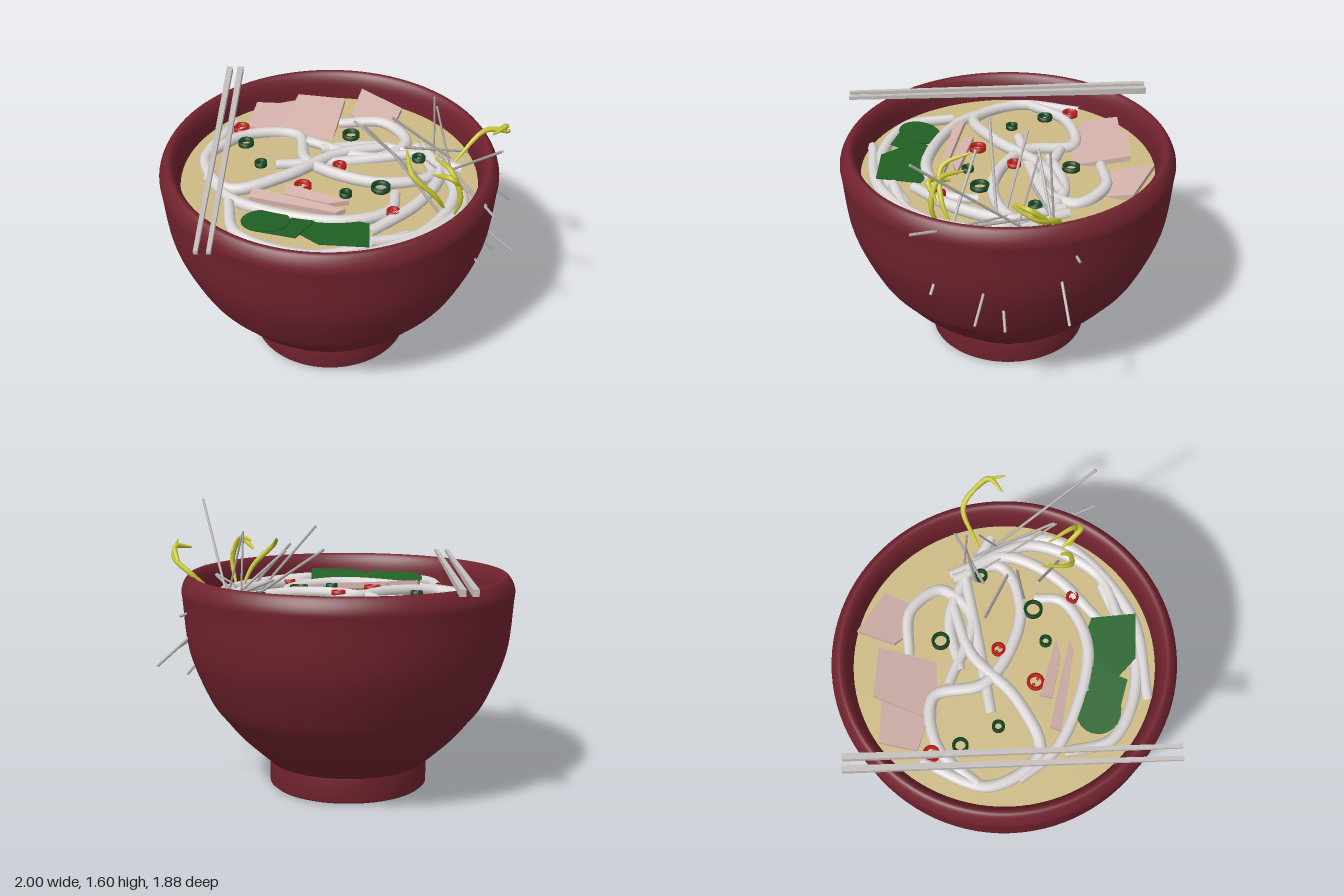
import * as THREE from 'three';

const mat = (name, color, side = THREE.FrontSide) => {
  const m = new THREE.MeshStandardMaterial({ color, side });
  m.name = name;
  return m;
};

const V = (p) => new THREE.Vector3(...p);
const v2 = (list) => list.map(([a, b]) => new THREE.Vector2(a, b));
const CX = -0.065; // bowl axis
const SOUP_Y = 1.07;

// Tube along points, thinning towards both ends by `taper`
function taperedTube(points, radius, segs, sides, taper) {
  const curve = new THREE.CatmullRomCurve3(points.map(V));
  const geo = new THREE.TubeGeometry(curve, segs, radius, sides);
  const pos = geo.attributes.position, v = new THREE.Vector3();
  for (let i = 0; i <= segs; i++) {
    const t = i / segs, c = curve.getPointAt(t);
    const k = 1 - taper * (2 * t - 1) ** 2;
    for (let j = 0; j <= sides; j++) {
      const n = i * (sides + 1) + j;
      v.fromBufferAttribute(pos, n).sub(c).multiplyScalar(k).add(c);
      pos.setXYZ(n, v.x, v.y, v.z);
    }
  }
  return geo;
}

// Flat slab from an x/z outline, tilted so its height is y0 + slope * (z - z0)
function slab(outline, thick, y0, z0, slope) {
  const shape = new THREE.Shape(v2(outline.map(([x, z]) => [x, -z])));
  const geo = new THREE.ExtrudeGeometry(shape, { depth: thick, bevelEnabled: false });
  geo.rotateX(-Math.PI / 2);
  const pos = geo.attributes.position;
  for (let i = 0; i < pos.count; i++) pos.setY(i, pos.getY(i) + y0 + slope * (pos.getZ(i) - z0));
  geo.computeVertexNormals();
  return geo;
}

export function createModel() {
  const root = new THREE.Group();
  const red = mat('bowlRed', 0x70222e);
  const broth = mat('brothTan', 0xcdbb85);
  const white = mat('noodleWhite', 0xdbd6d6);
  const pink = mat('meatPink', 0xd2b0aa);
  const leafGreen = mat('leafGreen', 0x226226, THREE.DoubleSide);
  const onion = mat('onionGreen', 0x174a22);
  const chili = mat('chiliRed', 0xc41f1f);
  const yellow = mat('sproutYellow', 0xc6c634);
  const grey = mat('stripGrey', 0xb4afaf);
  const wood = mat('chopstickGrey', 0xc4bebc);

  const add = (name, geo, material, parent = root) => {
    const m = new THREE.Mesh(geo, material);
    m.name = name;
    parent.add(m);
    return m;
  };
  const group = (name) => {
    const g = new THREE.Group();
    g.name = name;
    root.add(g);
    return g;
  };

  // Bowl wall: smooth profile up the outside, over the rim and down inside
  const profile = new THREE.SplineCurve(v2([
    [0.44, 0.145], [0.61, 0.3], [0.7, 0.405], [0.79, 0.53], [0.898, 0.8], [0.931, 1.08],
    [0.935, 1.16], [0.9, 1.224], [0.865, 1.222], [0.835, 1.16], [0.825, 1.04]]));
  add('bowl', new THREE.LatheGeometry(profile.getPoints(70), 96), red).position.x = CX;
  const foot = v2([[0, 0.004], [0.39, 0.004], [0.435, 0.008], [0.451, 0.022], [0.452, 0.15], [0.44, 0.165]]);
  add('bowlFoot', new THREE.LatheGeometry(foot, 96), red).position.x = CX;

  // Broth surface
  add('broth', new THREE.CircleGeometry(0.83, 96).rotateX(-Math.PI / 2), broth).position.set(CX, SOUP_Y, 0);

  // Noodles: x/z paths lying in the broth, with a slight rise and fall
  const noodles = group('noodles');
  const noodle = (i, ...path) => {
    const pts = path.map(([x, z], k) => [x, SOUP_Y + 0.014 + 0.008 * (i % 3) + 0.012 * Math.sin(k * 1.9 + i), z]);
    add('noodle', taperedTube(pts, 0.034, 90, 10, 0.15), white, noodles);
  };
  noodle(0, [-0.02, -0.52], [0.24, -0.51], [0.37, -0.34], [0.2, -0.17], [-0.2, -0.31]);
  noodle(1, [-0.76, -0.16], [-0.55, -0.37], [-0.26, -0.39], [-0.19, -0.1], [0.2, 0.1], [0.5, 0], [0.43, -0.27]);
  noodle(2, [-0.63, -0.46], [-0.77, -0.1], [-0.6, 0.17], [-0.3, 0.06], [-0.02, -0.18], [0.26, -0.27]);
  noodle(3, [-0.37, -0.08], [-0.02, -0.13], [0.43, -0.2]);
  noodle(4, [-0.74, 0.05], [-0.55, 0.28], [-0.02, 0.46], [0.27, 0.34], [0.3, 0.18]);
  noodle(5, [0.43, -0.24], [0.55, 0], [0.43, 0.28], [0.16, 0.53]);
  noodle(6, [-0.32, 0.77], [0.2, 0.7], [0.66, 0.28], [0.46, -0.29]);
  noodle(7, [-0.6, 0.3], [-0.53, 0.57], [-0.13, 0.72], [0.36, 0.56]);
  noodle(8, [0.48, -0.2], [0.62, 0.18], [0.43, 0.54], [0.16, 0.64]);
  noodle(9, [-0.12, -0.24], [0.22, -0.29], [0.68, -0.05]);

  // Meat: slices tilted up at the back, and two slim strips near the front
  const meat = group('meat');
  const slice = (name, y, z, slope, ...outline) => add(name, slab(outline, 0.03, y, z, slope), pink, meat);
  slice('meatSlice', 1.095, -0.68, -0.2, [-0.52, -0.68], [-0.28, -0.67], [-0.25, -0.38], [-0.56, -0.48]);
  slice('meatSlice', 1.135, -0.71, -0.28, [-0.27, -0.71], [0.01, -0.68], [-0.07, -0.31], [-0.4, -0.38]);
  slice('meatSlice', 1.125, -0.8, -0.28, [0.11, -0.8], [0.35, -0.65], [0.24, -0.36], [0.05, -0.6]);
  slice('meatStrip', 1.1, 0.3, -0.3, [-0.47, 0.23], [0.03, 0.36], [-0.02, 0.385], [-0.49, 0.29]);
  slice('meatStrip', 1.1, 0.24, -0.3, [-0.29, 0.185], [0.05, 0.29], [-0.06, 0.31], [-0.3, 0.25]);

  // Leaves: overlapping plates rising towards the front
  const leaves = group('leaves');
  const leaf = (y, outline) => add('leaf', slab(outline, 0.006, y, 0.46, 0.16), leafGreen, leaves);
  leaf(1.105, [[-0.22, 0.46], [0.06, 0.45], [0.16, 0.49], [0.16, 0.73], [-0.1, 0.71], [-0.22, 0.59]]);
  leaf(1.112, [[-0.24, 0.44], [-0.12, 0.46], [-0.22, 0.66], [-0.41, 0.6]]);
  leaf(1.12, Array.from({ length: 20 }, (_, i) => {
    const a = (i / 20) * Math.PI * 2;
    return [-0.385 + 0.13 * Math.cos(a), 0.495 + 0.12 * Math.sin(a)];
  }));

  // Spring onion rings
  const ring = (name, x, z, r, material) => {
    const section = v2([[r - 0.008, -0.012], [r + 0.008, -0.012], [r + 0.008, 0.012], [r - 0.008, 0.012], [r - 0.008, -0.012]]);
    const m = add(name, new THREE.LatheGeometry(section, 24), material);
    m.position.set(x, 1.118, z);
    return m;
  };
  [[0.05, -0.345, 0.042], [-0.55, -0.25, 0.036], [-0.45, -0.045, 0.027], [0.22, 0.17, 0.045],
    [0.03, 0.23, 0.026], [0.435, -0.115, 0.03]].forEach(([x, z, r]) => ring('onionRing', x, z, r, onion));

  // Chili rings with small seeds inside
  [[-0.59, -0.405, 0.038], [-0.01, -0.03, 0.031], [-0.205, 0.165, 0.04], [0.285, 0.39, 0.028]].forEach(([x, z, r]) => {
    const g = ring('chiliRing', x, z, r, chili);
    for (const s of [-1, 1]) {
      add('chiliSeed', new THREE.SphereGeometry(0.009, 8, 6), chili, g).position.set(s * r * 0.4, 0, s * r * 0.3);
    }
  });

  // Thin straight strips poking out of the soup and through the bowl wall
  const strips = group('thinStrips');
  const strip = (from, to, r = 0.008) => {
    const a = V(from), b = V(to);
    const m = add('strip', new THREE.CylinderGeometry(r, r, a.distanceTo(b), 6), grey, strips);
    m.position.lerpVectors(a, b, 0.5);
    m.quaternion.setFromUnitVectors(new THREE.Vector3(0, 1, 0), b.sub(a).normalize());
  };
  strip([0.6, 1.05, -0.09], [0.81, 1.6, 0.52]);
  strip([0.12, 1.48, 0.11], [0.87, 0.62, 0.07]);
  strip([0.07, 1.37, -0.1], [0.96, 0.735, 0.23]);
  strip([0.28, 1.37, -0.14], [0.99, 0.74, -0.25]);
  strip([0.27, 1.37, 0.19], [0.765, 0.8, 0.45]);
  strip([0.55, 1.12, -0.15], [0.805, 1.2, 0.54]);
  strip([0.35, 1.2, -0.1], [0.85, 1.03, -0.31]);
  strip([0.51, 1.48, -0.18], [0.53, 1, -0.21], 0.006);
  strip([0.52, 1.46, -0.12], [0.64, 1, 0.02], 0.006);
  strip([0.42, 1.1, -0.2], [0.77, 1.19, 0.42], 0.006);

  // Curly sprouts
  const sprouts = group('sprouts');
  const sprout = (...pts) => add('sprout', taperedTube(pts, 0.015, 28, 8, 0.65), yellow, sprouts);
  sprout([0.35, 1.4, 0.22], [0.38, 1.34, 0.37], [0.5, 1.22, 0.38], [0.57, 1.08, 0.33]);
  sprout([0.5, 1.38, 0.26], [0.58, 1.38, 0.39], [0.63, 1.25, 0.43], [0.6, 1.08, 0.38]);
  sprout([0.49, 1.32, 0.33], [0.58, 1.37, 0.44], [0.64, 1.28, 0.4]);
  sprout([0.9, 1.41, 0.04], [0.91, 1.33, -0.08], [0.8, 1.25, -0.2], [0.63, 1.08, -0.12]);
  sprout([0.82, 1.37, 0.02], [0.9, 1.38, -0.05], [0.86, 1.27, -0.17]);

  // Chopsticks resting across the rim, thinner at the front
  for (const x of [-0.695, -0.63]) {
    const geo = new THREE.BoxGeometry(0.034, 0.038, 1.77);
    const pos = geo.attributes.position;
    for (let i = 0; i < pos.count; i++) {
      if (pos.getZ(i) > 0) pos.setXY(i, pos.getX(i) * 0.65, pos.getY(i) * 0.5);
    }
    geo.computeVertexNormals();
    add('chopstick', geo, wood).position.set(x, 1.245, 0.025);
  }

  return root;
}
